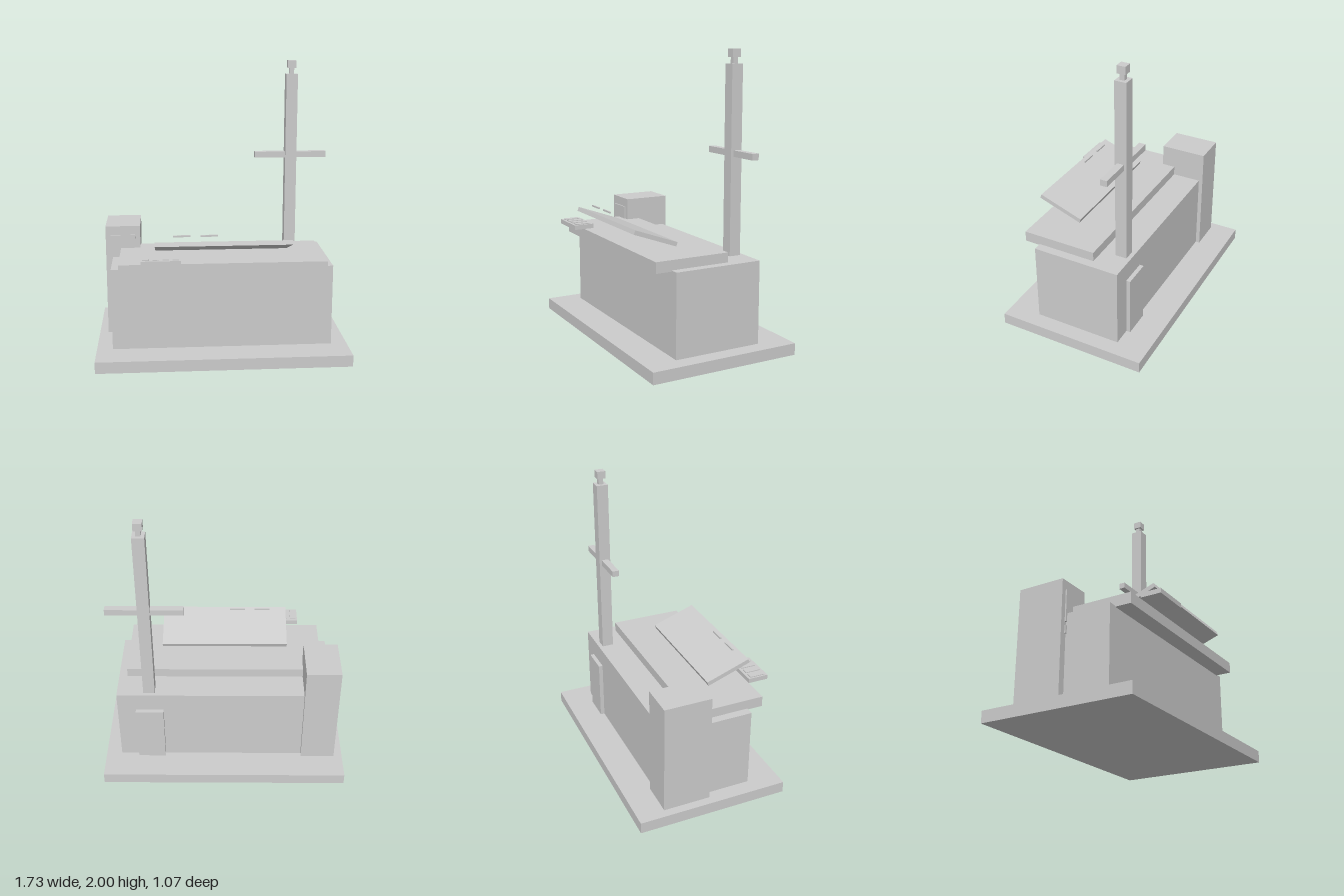
import * as THREE from 'three';

export function createModel() {
  const model = new THREE.Group();
  const grey = new THREE.MeshStandardMaterial({ color: 0xcccccc });
  grey.name = 'plain grey';

  // Box given by its [min, max] range along each axis
  function box(name, [x0, x1], [y0, y1], [z0, z1]) {
    const mesh = new THREE.Mesh(new THREE.BoxGeometry(x1 - x0, y1 - y0, z1 - z0), grey);
    mesh.name = name;
    mesh.position.set((x0 + x1) / 2, (y0 + y1) / 2, (z0 + z1) / 2);
    model.add(mesh);
    return mesh;
  }

  // Plinth, main body and overhanging worktop
  box('plinth', [-0.864, 0.864], [0, 0.08], [-0.537, 0.526]);
  box('body', [-0.756, 0.754], [0.08, 0.645], [-0.317, 0.305]);
  box('worktop', [-0.698, 0.694], [0.637, 0.711], [-0.11, 0.416]);
  box('backDoor', [0.429, 0.625], [0.08, 0.512], [-0.346, -0.31]);

  // Side tower with its front panels
  box('tower', [-0.804, -0.562], [0.08, 0.867], [-0.346, -0.014]);
  box('towerPanel', [-0.769, -0.597], [0.587, 0.804], [-0.03, -0.005]);
  box('towerSlot', [-0.769, -0.597], [0.51, 0.563], [-0.03, -0.005]);

  // Tilted board, its front edge raised
  const board = box('tiltedBoard', [-0.456, 0.453], [0.782, 0.812], [0.12, 0.449]);
  board.rotation.x = -0.345;

  // Small bars above the board
  for (const x of [-0.278, -0.096]) {
    box('boardBar', [x - 0.057, x + 0.057], [0.885, 0.896], [0.37, 0.381]);
  }

  // Control pad with four keys
  box('controlPad', [-0.548, -0.288], [0.737, 0.769], [0.394, 0.537]);
  for (let i = 0; i < 4; i++) {
    const x = -0.516 + i * 0.065;
    box('key', [x - 0.021, x + 0.021], [0.765, 0.775], [0.412, 0.52]);
  }

  // Mast, crossbar, neck and cap
  box('mast', [0.487, 0.568], [0.64, 1.905], [-0.288, -0.207]);
  box('crossbar', [0.268, 0.785], [1.308, 1.35], [-0.271, -0.224]);
  box('mastNeck', [0.511, 0.544], [1.9, 1.95], [-0.264, -0.231]);
  box('mastCap', [0.498, 0.557], [1.948, 2], [-0.277, -0.218]);

  return model;
}
